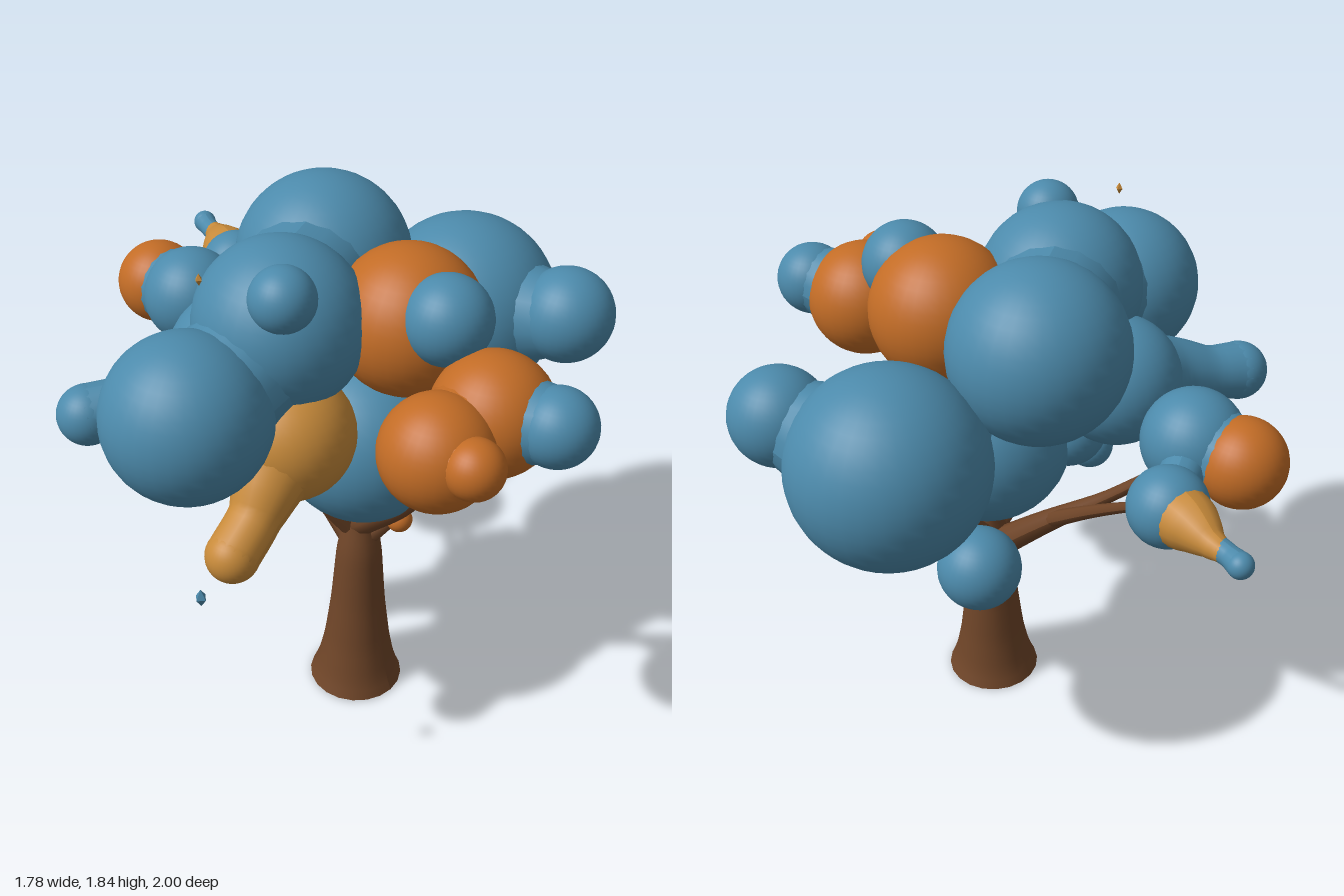
import * as THREE from 'three';

const material = (color) => new THREE.MeshStandardMaterial({ color });
const bark = material(0x6f4528);
const blue = material(0x4c8aab);
const orange = material(0xc26c26);
const amber = material(0xc78a3a);

const vec = (p) => new THREE.Vector3(p[0], p[1], p[2]);

// Tube along [x, y, z, radius] stations, with the radius running from station to station
function limb(name, stations, mat, sides = 10, steps = 16) {
  const curve = new THREE.CatmullRomCurve3(stations.map(vec));
  const geo = new THREE.TubeGeometry(curve, steps, 1, sides);
  const pos = geo.attributes.position;
  const v = new THREE.Vector3();
  for (let i = 0; i <= steps; i++) {
    const u = i / steps;
    const centre = curve.getPointAt(u);
    const s = curve.getUtoTmapping(u) * (stations.length - 1);
    const k = Math.min(Math.floor(s), stations.length - 2);
    const r = THREE.MathUtils.lerp(stations[k][3], stations[k + 1][3], s - k);
    for (let j = 0; j <= sides; j++) {
      const n = i * (sides + 1) + j;
      v.fromBufferAttribute(pos, n).sub(centre).multiplyScalar(r).add(centre);
      pos.setXYZ(n, v.x, v.y, v.z);
    }
  }
  geo.computeVertexNormals();
  const mesh = new THREE.Mesh(geo, mat);
  mesh.name = name;
  return mesh;
}

function ball(name, [x, y, z, r], mat) {
  const mesh = new THREE.Mesh(new THREE.SphereGeometry(r, 32, 22), mat);
  mesh.position.set(x, y, z);
  mesh.name = name;
  return mesh;
}

export function createModel() {
  const tree = new THREE.Group();
  tree.name = 'tree';

  // Flared trunk with a closed base
  tree.add(limb('trunk', [
    [-0.035, 0, 0.17, 0.165], [-0.034, 0.05, 0.17, 0.145], [-0.03, 0.18, 0.17, 0.117],
    [-0.026, 0.36, 0.168, 0.095], [-0.02, 0.58, 0.165, 0.078], [-0.01, 0.72, 0.16, 0.055],
    [-0.01, 0.95, 0.16, 0.04],
  ], bark, 20, 30));
  const base = new THREE.Mesh(new THREE.CircleGeometry(0.165, 20), bark);
  base.rotation.x = Math.PI / 2;
  base.position.set(-0.035, 0.001, 0.17);
  base.name = 'trunkBase';
  tree.add(base);

  // Branches reaching out to the leaf clusters
  const branches = [
    [[0, 0.6, 0.15, 0.05], [0.14, 0.76, 0.14, 0.045], [0.34, 1.01, 0.13, 0.03], [0.48, 1.15, 0.13, 0.025]],
    [[0, 0.6, 0.13, 0.055], [0, 0.78, -0.07, 0.04], [-0.01, 0.97, -0.3, 0.022], [-0.02, 1.22, -0.57, 0.018]],
    [[0, 0.8, -0.09, 0.03], [0.07, 0.96, -0.29, 0.022], [0.2, 1.16, -0.53, 0.015], [0.27, 1.24, -0.64, 0.012]],
    [[-0.02, 0.7, 0.17, 0.05], [-0.03, 0.9, 0.37, 0.04], [-0.05, 1.1, 0.49, 0.03], [-0.05, 1.33, 0.62, 0.02]],
    [[-0.05, 1.1, 0.49, 0.025], [-0.14, 1.21, 0.55, 0.015], [-0.24, 1.33, 0.62, 0.012]],
    [[0, 0.62, 0.15, 0.045], [0.12, 0.67, 0.1, 0.03], [0.25, 0.71, 0.04, 0.02]],
    [[-0.02, 0.65, 0.15, 0.04], [-0.14, 0.85, 0.08, 0.03], [-0.25, 1.15, -0.02, 0.02]],
    [[0, 0.66, 0.2, 0.04], [0.03, 0.71, 0.25, 0.025], [0.05, 0.73, 0.28, 0.02]],
  ];
  branches.forEach((b) => tree.add(limb('branch', b, bark)));

  // Round leaf clusters: [x, y, z, radius]
  const blueLeaves = [
    [0.565, 1.275, 0.135, 0.32], [0.62, 1.36, 0.505, 0.16],
    [-0.63, 1.395, 0, 0.262], [0.137, 1.545, -0.13, 0.288],
    [-0.25, 1.55, 0.03, 0.272], [-0.37, 1.735, 0.15, 0.102],
    [0, 1.055, 0.16, 0.29], [0, 1.62, 0.465, 0.14],
    [-0.02, 1.44, 0.88, 0.122], [0.25, 0.71, 0.03, 0.143],
    [-0.2, 1.3, -0.22, 0.215], [-0.02, 1.3, -0.59, 0.165],
    [0.275, 1.26, -0.66, 0.125], [-0.25, 0.97, -0.1, 0.08],
    [-0.17, 1.07, -0.06, 0.13],
  ];
  const orangeLeaves = [
    [0.05, 1.525, 0.285, 0.24], [-0.05, 1.41, 0.68, 0.193],
    [-0.27, 1.38, 0.645, 0.178], [-0.31, 1.42, 0.8, 0.092],
    [-0.01, 1.285, -0.76, 0.143], [0.05, 0.725, 0.28, 0.045],
  ];
  const amberLeaves = [[-0.33, 1.23, 0.13, 0.21]];
  blueLeaves.forEach((p) => tree.add(ball('blueLeafCluster', p, blue)));
  orangeLeaves.forEach((p) => tree.add(ball('orangeLeafCluster', p, orange)));
  amberLeaves.forEach((p) => tree.add(ball('amberLeafCluster', p, amber)));

  // Lumpy arms of foliage, each ending in a rounded tip
  const arms = [
    [amber, [[-0.35, 1.23, 0.14, 0.19], [-0.47, 1.15, 0.17, 0.12], [-0.56, 1.07, 0.19, 0.085], [-0.67, 1, 0.2, 0.085]]],
    [blue, [[-0.22, 1.28, -0.2, 0.18], [-0.42, 1.24, -0.3, 0.12], [-0.53, 1.21, -0.39, 0.09], [-0.63, 1.19, -0.46, 0.1]]],
    [amber, [[0.275, 1.26, -0.66, 0.11], [0.33, 1.27, -0.77, 0.085], [0.375, 1.27, -0.85, 0.045], [0.39, 1.27, -0.89, 0.034]]],
    [blue, [[0.38, 1.27, -0.87, 0.036], [0.4, 1.27, -0.92, 0.034], [0.42, 1.27, -0.96, 0.04]]],
  ];
  arms.forEach(([mat, stations]) => {
    tree.add(limb('foliageArm', stations, mat, 18, 18));
    tree.add(ball('foliageArmTip', stations[stations.length - 1], mat));
  });

  // Short necks that soften the joints between touching clusters
  const necks = [
    [blue, [0.57, 1.29, 0.2, 0.24], [0.61, 1.345, 0.47, 0.14]],
    [blue, [0.04, 1.54, 0.32, 0.18], [0.01, 1.6, 0.44, 0.13]],
    [orange, [-0.05, 1.41, 0.66, 0.15], [-0.27, 1.38, 0.645, 0.15]],
    [orange, [-0.28, 1.39, 0.68, 0.13], [-0.31, 1.42, 0.79, 0.088]],
    [blue, [-0.05, 1.41, 0.7, 0.16], [-0.02, 1.44, 0.86, 0.115]],
    [blue, [-0.27, 1.6, 0.05, 0.2], [-0.36, 1.72, 0.14, 0.1]],
    [blue, [-0.02, 1.3, -0.6, 0.14], [-0.01, 1.285, -0.74, 0.13]],
    [blue, [-0.03, 1.29, -0.59, 0.1], [0.275, 1.26, -0.66, 0.05]],
    [blue, [-0.6, 1.4, 0, 0.2], [-0.28, 1.5, 0.03, 0.2]],
    [blue, [-0.22, 1.55, 0, 0.22], [0.1, 1.55, -0.1, 0.22]],
    [blue, [-0.1, 1.3, 0.02, 0.22], [0.05, 1.5, -0.06, 0.22]],
    [blue, [0.03, 1.12, 0.16, 0.2], [0.45, 1.25, 0.14, 0.1]],
  ];
  necks.forEach(([mat, a, b]) => tree.add(limb('foliageNeck', [a, b], mat, 18, 4)));

  // Loose leaf flecks
  const flecks = [[-0.82, 0.94, 0.21, 0.033, blue], [-0.52, 1.8, -0.03, 0.02, amber]];
  flecks.forEach(([x, y, z, r, mat]) => {
    const fleck = new THREE.Mesh(new THREE.OctahedronGeometry(r), mat);
    fleck.position.set(x, y, z);
    fleck.scale.set(0.6, 1, 0.6);
    fleck.name = 'looseLeaf';
    tree.add(fleck);
  });

  return tree;
}
